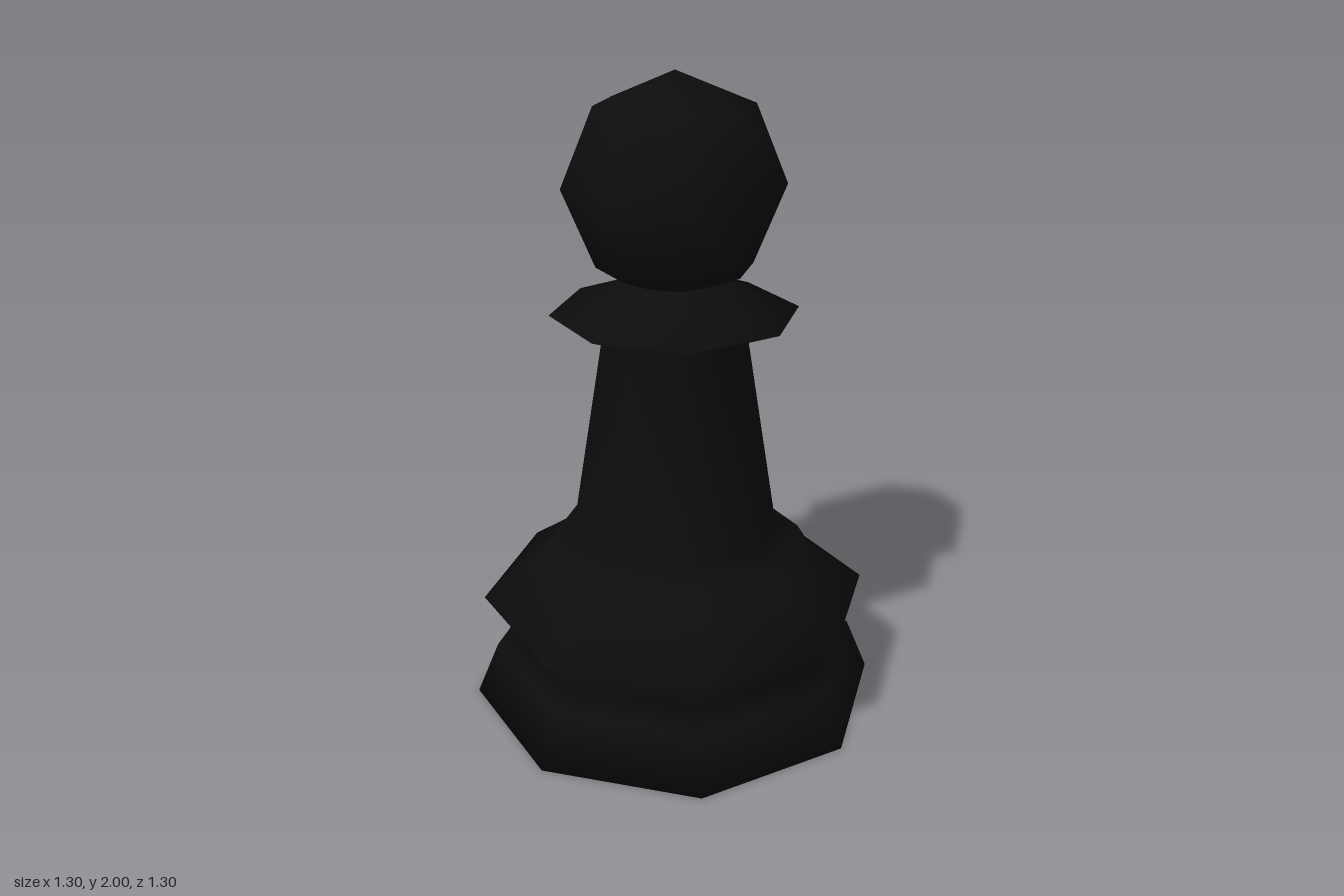
import * as THREE from 'three';

const SIDES = 8;

export function createModel() {
  const group = new THREE.Group();
  const material = new THREE.MeshStandardMaterial({ color: 0x0d0d0d });

  const add = (name, geometry, y = 0) => {
    const mesh = new THREE.Mesh(geometry, material);
    mesh.name = name;
    mesh.position.y = y;
    group.add(mesh);
  };

  // Turned body, [radius, height] from the underside up to the collar
  const profile = [
    [0, 0], [0.65, 0],                        // closed underside
    [0.58, 0.17], [0.5, 0.205],               // foot
    [0.615, 0.345], [0.445, 0.465],           // flared ring
    [0.4, 0.54], [0.325, 0.565],              // shoulder
    [0.22, 1.22],                             // tapered stem
    [0.38, 1.285], [0.12, 1.38], [0, 1.38],   // collar
  ].map(([r, y]) => new THREE.Vector2(r, y));
  add('body', new THREE.LatheGeometry(profile, SIDES));

  // Round head resting in the collar
  const headRadius = 0.335;
  add('head', new THREE.SphereGeometry(headRadius, SIDES, 4), 2 - headRadius);

  return group;
}
